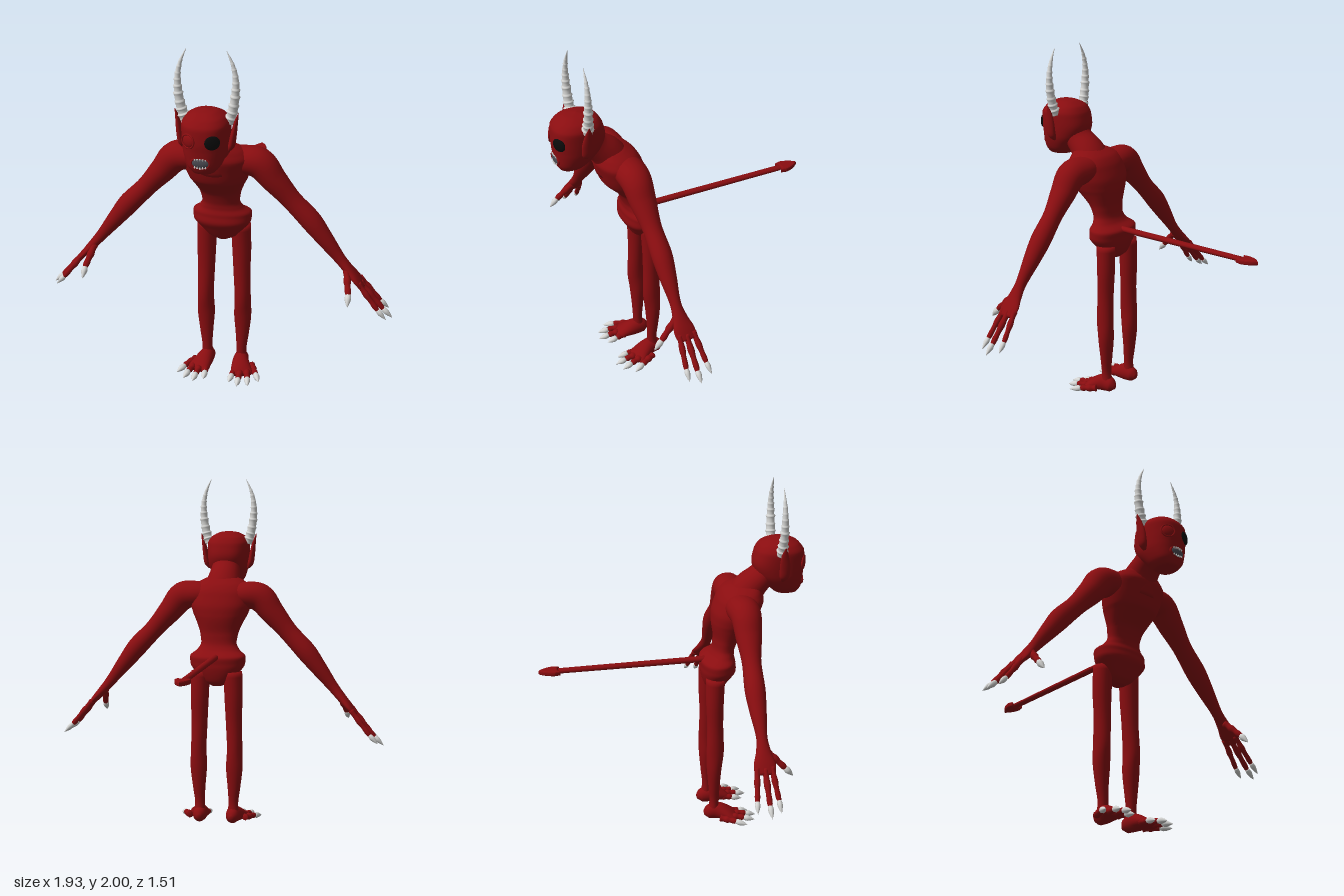
import * as THREE from 'three';

const mat = (name, color) => {
  const m = new THREE.MeshStandardMaterial({ color });
  m.name = name;
  return m;
};

// Smooth tube through rows [x, y, z, a, b]; b lies near the axis w, a across it.
// flat keeps every section horizontal, power > 2 makes the sections squarer.
function loft(rows, { w = [0, 0, 1], flat = false, power = 2, sides = 20, steps = 5, ripple = null } = {}) {
  const path = new THREE.CatmullRomCurve3(rows.map(r => new THREE.Vector3(r[0], r[1], r[2])));
  const size = new THREE.CatmullRomCurve3(rows.map(r => new THREE.Vector3(r[3], r[4], 0)));
  const n = (rows.length - 1) * steps, pos = [], idx = [];
  const W = new THREE.Vector3(...w), up = new THREE.Vector3(0, 1, 0);
  const bend = v => Math.sign(v) * Math.abs(v) ** (2 / power);
  for (let i = 0; i <= n; i++) {
    const t = i / n, c = path.getPoint(t), s = size.getPoint(t);
    const T = flat ? up : path.getTangent(t);
    const U = W.clone().cross(T).normalize(), V = T.clone().cross(U);
    const k = ripple ? ripple(t) : 1;
    for (let j = 0; j < sides; j++) {
      const q = j / sides * Math.PI * 2;
      const p = c.clone()
        .addScaledVector(U, Math.max(s.x, 0.0005) * k * bend(Math.cos(q)))
        .addScaledVector(V, Math.max(s.y, 0.0005) * k * bend(Math.sin(q)));
      pos.push(p.x, p.y, p.z);
    }
  }
  for (let i = 0; i < n; i++) for (let j = 0; j < sides; j++) {
    const a = i * sides + j, b = i * sides + (j + 1) % sides;
    idx.push(a, b, b + sides, a, b + sides, a + sides);
  }
  // end caps
  const first = rows[0], last = rows[rows.length - 1], c0 = pos.length / 3, end = n * sides;
  pos.push(first[0], first[1], first[2], last[0], last[1], last[2]);
  for (let j = 0; j < sides; j++) {
    const k = (j + 1) % sides;
    idx.push(c0, k, j, c0 + 1, end + j, end + k);
  }
  const g = new THREE.BufferGeometry();
  g.setAttribute('position', new THREE.Float32BufferAttribute(pos, 3));
  g.setIndex(idx);
  g.computeVertexNormals();
  return g;
}

export function createModel() {
  const model = new THREE.Group();
  model.name = 'hornedImp';
  const skin = mat('red skin', 0x8a0d10), bone = mat('bone white', 0xd6d6d4);
  const black = mat('black eye', 0x0b0b0b), gum = mat('grey mouth', 0x4b4b52);

  const add = (name, geo, material, p = [0, 0, 0], scale = [1, 1, 1], ry = 0) => {
    const m = new THREE.Mesh(geo, material);
    m.name = name;
    m.position.set(...p);
    m.scale.set(...scale);
    m.rotation.y = ry;
    model.add(m);
    return m;
  };
  const ball = new THREE.SphereGeometry(1, 24, 16);
  // section rows centred on x = 0, given as [y, z, halfWidth, halfDepth]
  const upright = rows => rows.map(r => [0, ...r]);

  // torso and hips
  add('torso', loft(upright([
    [0.815, 0.25, 0.03, 0.03], [0.84, 0.25, 0.08, 0.06], [0.89, 0.257, 0.125, 0.083],
    [0.94, 0.267, 0.16, 0.098], [0.985, 0.265, 0.163, 0.096], [1.02, 0.285, 0.125, 0.068],
    [1.06, 0.298, 0.104, 0.06], [1.12, 0.312, 0.113, 0.07], [1.19, 0.34, 0.142, 0.108],
    [1.22, 0.352, 0.158, 0.122], [1.28, 0.365, 0.178, 0.13], [1.35, 0.388, 0.185, 0.128],
    [1.40, 0.40, 0.15, 0.105], [1.43, 0.42, 0.09, 0.07], [1.44, 0.42, 0.01, 0.01],
  ]), { flat: true, power: 2.2, sides: 36 }), skin);

  // neck and head
  add('neck', loft(upright([
    [1.32, 0.40, 0.13, 0.11], [1.40, 0.44, 0.1, 0.092],
    [1.47, 0.51, 0.085, 0.075], [1.54, 0.57, 0.08, 0.075],
  ]), { sides: 24 }), skin);
  add('head', loft(upright([
    [1.364, 0.655, 0.02, 0.02], [1.375, 0.65, 0.06, 0.065], [1.41, 0.64, 0.09, 0.094],
    [1.48, 0.612, 0.115, 0.13], [1.55, 0.602, 0.122, 0.146], [1.62, 0.607, 0.124, 0.137],
    [1.66, 0.605, 0.1, 0.108], [1.684, 0.605, 0.055, 0.06], [1.692, 0.605, 0.004, 0.004],
  ]), { flat: true, power: 2.35, sides: 36 }), skin);

  // mouth with two rows of teeth
  add('mouth', ball, gum, [0, 1.441, 0.731], [0.047, 0.029, 0.013]);
  add('lips', new THREE.TorusGeometry(1, 0.13, 8, 32), skin, [0, 1.441, 0.732], [0.048, 0.03, 0.06]);
  const tooth = new THREE.ConeGeometry(0.006, 0.015, 6);
  for (let i = -2; i <= 2; i++) for (const s of [1, -1]) {
    const m = add('tooth', tooth, bone, [i * 0.014, 1.441 - s * (0.021 - Math.abs(i) * 0.002), 0.742 - i * i * 0.001]);
    if (s < 0) m.rotation.z = Math.PI;
  }

  // one filled eye, one empty socket
  add('leftEye', ball, black, [0.062, 1.555, 0.731], [0.041, 0.038, 0.014], 0.47);
  add('rightEye', ball, skin, [-0.062, 1.555, 0.729], [0.036, 0.034, 0.012], -0.47);
  add('rightEyeRim', new THREE.TorusGeometry(0.038, 0.005, 8, 32), skin, [-0.064, 1.555, 0.732], [1, 0.95, 1], -0.47);

  // tail with an arrow tip
  add('tail', loft([[0, 0.987, 0.22, 0.021, 0.017], [0, 0.987, -0.2, 0.02, 0.016], [0, 0.987, -0.64, 0.02, 0.014]],
    { w: [0, 1, 0], sides: 12 }), skin);
  const arrow = new THREE.Shape();
  arrow.moveTo(0, 0.752);
  arrow.quadraticCurveTo(0.035, 0.72, 0.044, 0.665);
  arrow.lineTo(0.036, 0.632);
  arrow.lineTo(0.018, 0.645);
  arrow.lineTo(-0.018, 0.645);
  arrow.lineTo(-0.036, 0.632);
  arrow.lineTo(-0.044, 0.665);
  arrow.quadraticCurveTo(-0.035, 0.72, 0, 0.752);
  const tip = new THREE.ExtrudeGeometry(arrow, {
    depth: 0.012, bevelThickness: 0.008, bevelSize: 0.008, bevelOffset: -0.008, bevelSegments: 2,
  });
  add('tailTip', tip, skin, [0, 0.981, 0]).rotation.x = -Math.PI / 2;

  for (const s of [1, -1]) {
    const side = s > 0 ? 'left' : 'right';
    const part = (name, rows, material, opts) =>
      add(side + name, loft(rows.map(r => [s * r[0], ...r.slice(1)]), opts), material);

    // digit with knuckle and claw: a = root, b = end of flesh, c = claw tip
    const digit = (name, a, b, c, r, w) => {
      const mix = (p, q, t) => p.map((v, i) => v + (q[i] - v) * t);
      const fat = [1.1, 0.9, 1.12, 0.85, 0.95, 0.6];
      part(name, fat.map((f, i) => [...mix(a, b, i / 5), r * f, r * f]), skin, { w, sides: 10, steps: 3 });
      part(name + 'Claw', [[0, 0.75], [0.3, 0.95], [0.65, 0.62], [1, 0.04]]
        .map(([t, f]) => [...mix(mix(a, b, 0.93), c, t), r * f, r * f]), bone, { w, sides: 10, steps: 3 });
    };

    // ear
    part('Ear', [
      [0.115, 1.47, 0.6, 0.006, 0.01], [0.132, 1.505, 0.605, 0.018, 0.028], [0.142, 1.56, 0.605, 0.016, 0.03],
      [0.154, 1.63, 0.6, 0.01, 0.02], [0.167, 1.678, 0.6, 0.001, 0.002],
    ], skin);

    // ringed horn
    part('Horn', [
      [0.115, 1.62, 0.59, 0.03, 0.03], [0.136, 1.69, 0.593, 0.028, 0.028], [0.15, 1.78, 0.595, 0.023, 0.023],
      [0.15, 1.86, 0.595, 0.017, 0.017], [0.135, 1.93, 0.595, 0.01, 0.01], [0.104, 2.0, 0.595, 0.001, 0.001],
    ], bone, { steps: 16, sides: 16, ripple: t => 0.88 + 0.34 * (1 - 0.6 * t) * ((t * 11) % 1) ** 4 });

    // arm and palm
    part('Arm', [
      [0.07, 1.33, 0.365, 0.07, 0.08], [0.15, 1.335, 0.368, 0.077, 0.09], [0.228, 1.322, 0.37, 0.083, 0.084],
      [0.305, 1.235, 0.367, 0.07, 0.072], [0.41, 1.115, 0.36, 0.055, 0.052], [0.50, 1.02, 0.355, 0.058, 0.056],
      [0.58, 0.92, 0.355, 0.047, 0.046], [0.67, 0.805, 0.355, 0.031, 0.03], [0.72, 0.745, 0.353, 0.026, 0.042],
      [0.765, 0.695, 0.35, 0.02, 0.06], [0.8, 0.655, 0.347, 0.012, 0.052],
    ], skin, { sides: 24 });

    // three fingers and a thumb
    const z = [0, 0, 1], y = [0, 1, 0];
    digit('BackFinger', [0.775, 0.685, 0.305], [0.895, 0.537, 0.28], [0.935, 0.5, 0.273], 0.0155, z);
    digit('MiddleFinger', [0.78, 0.68, 0.347], [0.92, 0.518, 0.345], [0.963, 0.48, 0.345], 0.0165, z);
    digit('FrontFinger', [0.775, 0.685, 0.385], [0.895, 0.533, 0.4], [0.935, 0.492, 0.402], 0.0155, z);
    digit('Thumb', [0.71, 0.745, 0.375], [0.738, 0.645, 0.475], [0.74, 0.6, 0.515], 0.019, z);

    // leg and foot
    part('Leg', [
      [0.1, 0.05, 0.23, 0.034, 0.032], [0.1, 0.12, 0.235, 0.029, 0.027], [0.104, 0.22, 0.232, 0.038, 0.033],
      [0.106, 0.34, 0.231, 0.049, 0.043], [0.107, 0.45, 0.236, 0.045, 0.05], [0.102, 0.6, 0.235, 0.047, 0.046],
      [0.1, 0.75, 0.232, 0.053, 0.05], [0.095, 0.9, 0.235, 0.055, 0.054],
    ], skin);
    part('Foot', [
      [0.096, 0.038, 0.175, 0.012, 0.014], [0.098, 0.044, 0.2, 0.036, 0.04], [0.1, 0.051, 0.25, 0.044, 0.05],
      [0.115, 0.038, 0.31, 0.056, 0.036], [0.13, 0.024, 0.35, 0.06, 0.02], [0.135, 0.02, 0.365, 0.05, 0.01],
    ], skin, { w: y });

    // toes
    const toes = [[0.085, 0.073, 0.445], [0.118, 0.127, 0.478], [0.15, 0.186, 0.46], [0.165, 0.238, 0.405]];
    for (const [x, tx, tz] of toes) {
      const root = tz - 0.145, fx = x + (tx - x) * 0.62;
      digit('Toe', [x, 0.032, root], [fx, 0.024, root + 0.09], [tx, 0.012, tz], 0.0185, y);
    }
  }
  return model;
}
